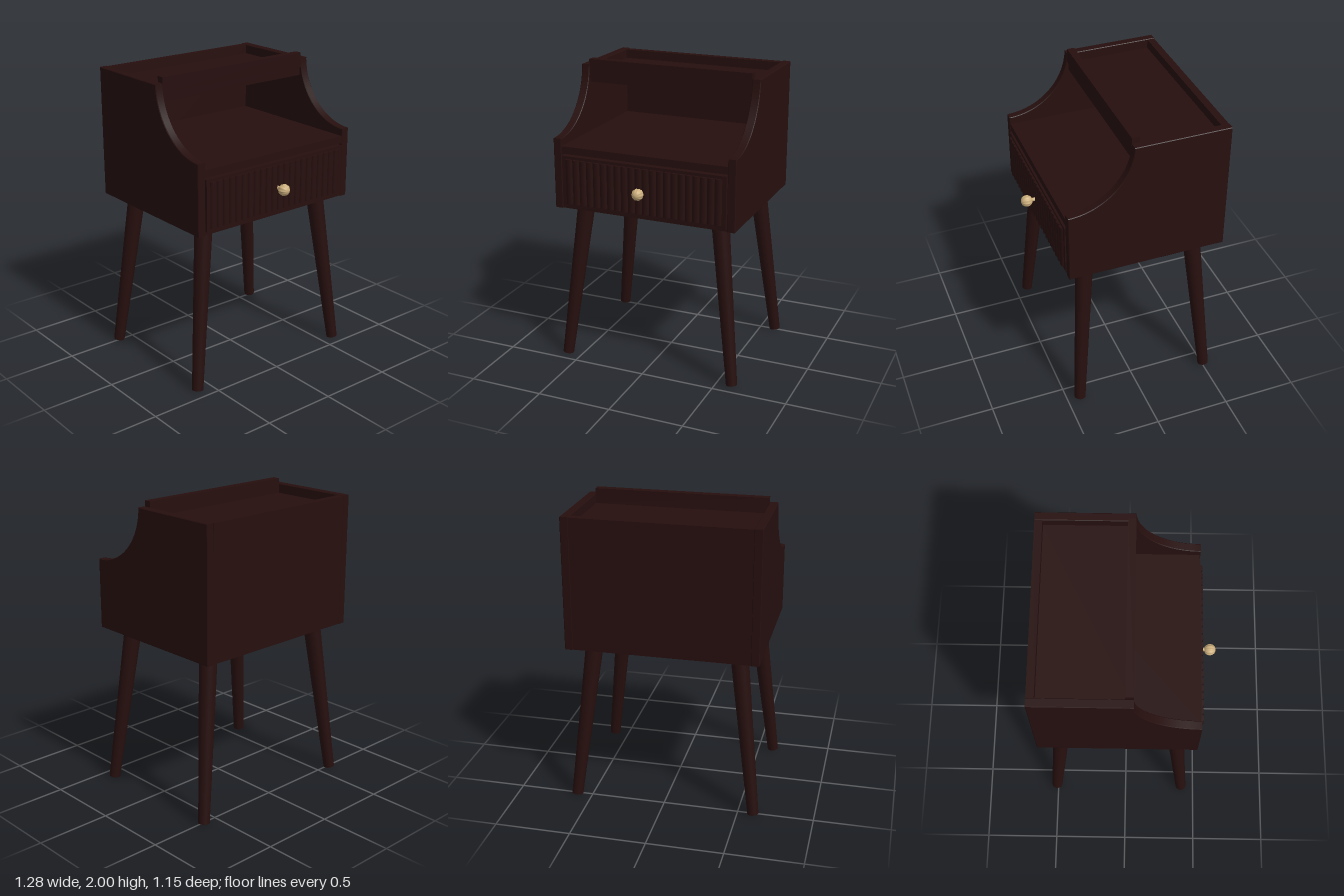
import * as THREE from 'three';

export function createModel() {
  const model = new THREE.Group();
  model.name = 'nightstand';

  const wood = new THREE.MeshStandardMaterial({ color: 0x260f0e });
  wood.name = 'dark wood';
  const brass = new THREE.MeshStandardMaterial({ color: 0xcbae7c });
  brass.name = 'brass';

  function add(name, geometry, material, parent = model) {
    const mesh = new THREE.Mesh(geometry, material);
    mesh.name = name;
    parent.add(mesh);
    return mesh;
  }

  // Board spanning x -halfWidth..halfWidth, y0..y1, z0..z1
  function board(name, halfWidth, y0, y1, z0, z1, parent = model) {
    const mesh = add(name, new THREE.BoxGeometry(halfWidth * 2, y1 - y0, z1 - z0), wood, parent);
    mesh.position.set(0, (y0 + y1) / 2, (z0 + z1) / 2);
  }

  // Side panels with a concave quarter-round sweep at the front (shape x = -z)
  const profile = new THREE.Shape();
  profile.moveTo(-0.47, 1.09);
  profile.lineTo(0.575, 1.09);
  profile.lineTo(0.575, 1.963);
  profile.lineTo(-0.05, 1.963);
  profile.absarc(-0.47, 1.98, 0.42, -0.04, -Math.PI / 2, true);
  profile.closePath();
  const bevel = 0.004;
  const panel = new THREE.ExtrudeGeometry(profile, {
    depth: 0.055 - bevel * 2, curveSegments: 32,
    bevelThickness: bevel, bevelSize: bevel, bevelOffset: -bevel, bevelSegments: 1,
  });
  panel.translate(0, 0, -(0.055 - bevel * 2) / 2);
  panel.rotateY(Math.PI / 2);
  for (const side of [-1, 1]) {
    add(side > 0 ? 'leftSidePanel' : 'rightSidePanel', panel, wood).position.x = side * 0.5985;
  }

  // Carcass boards between the sides
  board('backPanel', 0.572, 1.092, 1.96, -0.574, -0.525);
  board('bottomBoard', 0.572, 1.092, 1.108, -0.53, 0.465);
  board('openShelf', 0.572, 1.46, 1.51, -0.53, 0.465);
  board('topBoard', 0.572, 1.845, 1.9, -0.53, 0.042);
  board('topFrontLip', 0.571, 1.9, 2.0, 0.0, 0.05);

  // Fluted drawer front
  const drawer = new THREE.Group();
  drawer.name = 'drawer';
  model.add(drawer);
  board('drawerFront', 0.565, 1.112, 1.45, 0.43, 0.475, drawer);
  const slats = 22, pitch = 0.049;
  const slat = new THREE.CylinderGeometry(pitch / 2, pitch / 2, 0.3, 16);
  slat.scale(1, 1, 0.7);
  for (let i = 0; i < slats; i++) {
    add('slat', slat, wood, drawer).position.set((i - (slats - 1) / 2) * pitch, 1.28, 0.473);
  }

  // Knob: short stem and a ball with shallow ribs running front to back
  const stem = new THREE.CylinderGeometry(0.011, 0.013, 0.04, 16);
  stem.rotateX(Math.PI / 2);
  add('knobStem', stem, brass, drawer).position.set(0, 1.28, 0.495);
  const ball = new THREE.SphereGeometry(0.038, 60, 20);
  ball.rotateX(Math.PI / 2);
  const p = ball.attributes.position;
  for (let i = 0; i < p.count; i++) {
    const rib = 1 + 0.04 * (Math.cos(10 * Math.atan2(p.getY(i), p.getX(i))) - 0.5);
    p.setXY(i, p.getX(i) * rib, p.getY(i) * rib);
  }
  ball.computeVertexNormals();
  add('knob', ball, brass, drawer).position.set(0, 1.28, 0.541);

  // Tapered, splayed legs
  function leg(name, side, topZ, footZ) {
    const top = new THREE.Vector3(side * 0.474, 1.094, topZ);
    const foot = new THREE.Vector3(side * 0.603, 0.006, footZ);
    const axis = top.clone().sub(foot);
    const mesh = add(name, new THREE.CylinderGeometry(0.058, 0.037, axis.length(), 32), wood);
    mesh.position.copy(top).add(foot).multiplyScalar(0.5);
    mesh.quaternion.setFromUnitVectors(new THREE.Vector3(0, 1, 0), axis.normalize());
  }
  for (const side of [-1, 1]) {
    const label = side > 0 ? 'Left' : 'Right';
    leg('front' + label + 'Leg', side, 0.32, 0.41);
    leg('back' + label + 'Leg', side, -0.416, -0.51);
  }

  return model;
}
